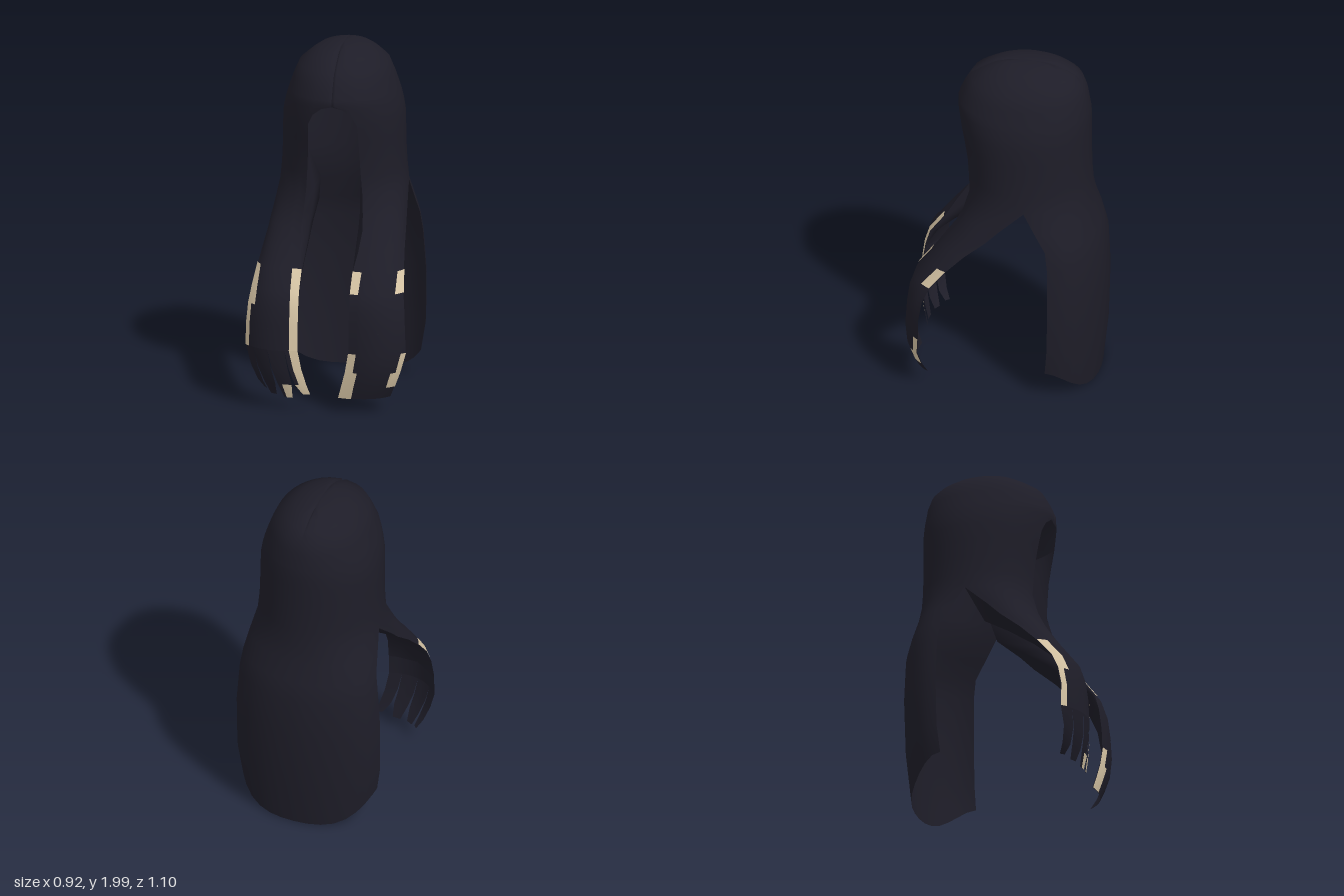
import * as THREE from 'three';
import { mergeGeometries, mergeVertices } from 'three/addons/utils/BufferGeometryUtils.js';

const LOCK_COLS = 10, BACK_COLS = 8, COLS = LOCK_COLS + BACK_COLS;
const SPLIT = THREE.MathUtils.degToRad(95); // angle where front lock and back curtain part
const V = (x, y, z) => new THREE.Vector3(x, y, z);

// Crown rings: y, half width, front z, back z, half width of the face opening
const CAP = [
  [2.0, 0, -0.1, -0.1, 0], [1.993, 0.07, 0.02, -0.22, 0], [1.975, 0.14, 0.09, -0.29, 0],
  [1.94, 0.19, 0.155, -0.36, 0], [1.89, 0.25, 0.23, -0.405, 0], [1.82, 0.28, 0.27, -0.43, 0],
  [1.75, 0.305, 0.3, -0.44, 0], [1.72, 0.315, 0.3, -0.445, 0], [1.7, 0.32, 0.3, -0.447, 0.06],
  [1.66, 0.33, 0.295, -0.45, 0.11], [1.6, 0.34, 0.29, -0.45, 0.14], [1.5, 0.343, 0.272, -0.45, 0.148],
  [1.4, 0.345, 0.255, -0.45, 0.148], [1.3, 0.35, 0.248, -0.453, 0.153], [1.2, 0.36, 0.243, -0.46, 0.16],
];

// Front lock sections: y, then x,z of the inner edge, bulge control and outer edge
const LOCK = [
  [1.08, 0.17, 0.245, 0.38, 0.2, 0.375, 0], [1.0, 0.175, 0.285, 0.39, 0.25, 0.385, 0.08],
  [0.9, 0.165, 0.35, 0.37, 0.355, 0.4, 0.2], [0.8, 0.145, 0.41, 0.36, 0.45, 0.415, 0.3],
  [0.69, 0.145, 0.49, 0.34, 0.54, 0.43, 0.39], [0.6, 0.145, 0.515, 0.33, 0.575, 0.443, 0.43],
  [0.5, 0.145, 0.53, 0.33, 0.585, 0.45, 0.45], [0.36, 0.145, 0.535, 0.33, 0.6, 0.455, 0.45],
];
const TIP = [
  [0.25, 0.125, 0.525, 0.31, 0.59, 0.425, 0.46], [0.16, 0.1, 0.51, 0.29, 0.565, 0.39, 0.44],
  [0.09, 0.08, 0.495, 0.28, 0.54, 0.36, 0.41],
];

// Inner wall and underside of a lock: y, then x,z of edge, wall, back corner, outer edge
const LINING = [
  [1.6, 0.14, 0.255, 0.2, 0.18, 0.29, 0.02, 0.33, -0.11],
  [1.4, 0.148, 0.223, 0.15, 0.16, 0.21, -0.06, 0.335, -0.125],
  [1.2, 0.16, 0.21, 0.13, 0.12, 0.14, -0.11, 0.355, -0.13],
  [1.08, 0.17, 0.245, 0.135, 0.15, 0.14, -0.07, 0.375, 0],
  [1.0, 0.175, 0.285, 0.14, 0.22, 0.145, 0.07, 0.385, 0.08],
  [0.9, 0.165, 0.35, 0.14, 0.3, 0.145, 0.22, 0.4, 0.2],
  [0.8, 0.145, 0.41, 0.145, 0.39, 0.15, 0.34, 0.415, 0.3],
  [0.69, 0.145, 0.49, 0.145, 0.475, 0.18, 0.45, 0.43, 0.39],
  [0.6, 0.145, 0.515, 0.16, 0.51, 0.25, 0.51, 0.443, 0.43],
  [0.48, 0.145, 0.53, 0.19, 0.54, 0.315, 0.54, 0.45, 0.45],
];

// Back curtain sections: y at edge, y at centre, half width, edge z, back z
const BACK = [
  [1.08, 1.1, 0.378, -0.2, -0.475], [0.98, 0.98, 0.395, -0.26, -0.51], [0.87, 0.87, 0.41, -0.275, -0.54],
  [0.63, 0.63, 0.427, -0.28, -0.55], [0.34, 0.3, 0.425, -0.275, -0.54], [0.18, 0.01, 0.4, -0.26, -0.51],
];

function capRow([y, w, zf, zb, open]) {
  const zc = -0.1, start = w > 0 ? Math.asin(open / w) : 0, row = [];
  for (let i = 0; i <= COLS; i++) {
    // the columns next to the parting are narrow, so that the groove reads as a line
    const k = i === 1 && open === 0 ? 0.4 : i === COLS - 1 && y > 1.9 ? COLS - 0.5 : i;
    const a = k <= LOCK_COLS
      ? start + (SPLIT - start) * k / LOCK_COLS
      : SPLIT + (Math.PI - SPLIT) * (k - LOCK_COLS) / BACK_COLS;
    const c = Math.cos(a);
    const p = V(w * Math.sin(a), y, zc + (c > 0 ? c ** 0.9 * (zf - zc) : c * (zc - zb)));
    if (i === 0 && open === 0) { p.x = 0; p.z -= 0.014; p.y -= 0.008; }
    if (i === COLS) { p.x = 0; if (y > 1.9) p.y -= 0.01; }
    row.push(p);
  }
  return row;
}

function lockPoint([y, xi, zi, cx, cz, xo, zo], t) {
  const a = (1 - t) ** 2, b = 2 * t * (1 - t), c = t * t;
  return V(a * xi + b * cx + c * xo, y, a * zi + b * cz + c * zo);
}

// Column position across a lock, with a wider inner column
const across = (i) => (i === 1 ? 0.13 : i / LOCK_COLS);
const lockRow = (s) => Array.from({ length: LOCK_COLS + 1 }, (_, i) => lockPoint(s, across(i)));

const liningRow = ([y, ...xz]) => [0, 2, 4, 6].map((i) => V(xz[i], y, xz[i + 1]));

function backRow([ye, yc, w, ze, zb]) {
  return Array.from({ length: BACK_COLS + 1 }, (_, i) => {
    const a = Math.PI / 2 * (1 - i / BACK_COLS), s = Math.sin(a);
    return V(i === BACK_COLS ? 0 : w * s, yc + (ye - yc) * s ** 4, ze + (zb - ze) * Math.cos(a));
  });
}

// Skin over rows of points; side -1 mirrors it, keep(r, c) selects cells
function loft(rows, side, keep = () => true) {
  const n = rows[0].length, pos = [], idx = [];
  rows.forEach((row) => row.forEach((p) => pos.push(p.x * side, p.y, p.z)));
  for (let r = 0; r < rows.length - 1; r++) {
    for (let c = 0; c < n - 1; c++) {
      if (!keep(r, c)) continue;
      const a = r * n + c, b = a + 1, d = a + n, e = d + 1;
      idx.push(...(side > 0 ? [a, d, b, b, d, e] : [a, b, d, b, e, d]));
    }
  }
  const g = new THREE.BufferGeometry();
  g.setAttribute('position', new THREE.Float32BufferAttribute(pos, 3));
  g.setIndex(idx);
  g.computeVertexNormals();
  return g;
}

// Join lofts into one smooth skin; the back seam is smoothed, the parting stays sharp
function joinSmooth(parts) {
  parts.forEach((g) => g.deleteAttribute('normal'));
  const g = mergeVertices(mergeGeometries(parts), 1e-4);
  g.computeVertexNormals();
  const p = g.attributes.position, n = g.attributes.normal;
  for (let i = 0; i < p.count; i++) {
    if (p.getX(i) !== 0 || p.getZ(i) > -0.38) continue;
    const v = V(0, n.getY(i), n.getZ(i)).normalize();
    n.setXYZ(i, v.x, v.y, v.z);
  }
  return g;
}

// Push a patch slightly outward so that it lies on the hair
function raise(g) {
  const p = g.attributes.position, n = g.attributes.normal;
  for (let i = 0; i < p.count; i++) {
    p.setXYZ(i, p.getX(i) + n.getX(i) * 0.004, p.getY(i) + n.getY(i) * 0.004, p.getZ(i) + n.getZ(i) * 0.004);
  }
  return g;
}

export function createModel() {
  const hair = new THREE.MeshStandardMaterial({ color: 0x1e1d28, side: THREE.DoubleSide });
  hair.name = 'dark hair';
  const tan = new THREE.MeshStandardMaterial({ color: 0xd8c6a6 });
  tan.name = 'tan highlight';
  const group = new THREE.Group();
  const add = (g, mat, name) => {
    const m = new THREE.Mesh(g, mat);
    m.name = name;
    group.add(m);
  };

  const cap = CAP.map(capRow), rim = cap[cap.length - 1];
  const back = [rim.slice(LOCK_COLS), ...BACK.map(backRow)];
  const upper = [rim.slice(0, LOCK_COLS + 1), ...LOCK.map(lockRow)];
  const whole = [...upper, ...TIP.map(lockRow)];
  const lining = LINING.map(liningRow);

  // Each half: crown, back curtain and front lock, with the inner wall of the lock
  for (const s of [1, -1]) {
    const name = s > 0 ? 'left' : 'right';
    add(joinSmooth([loft(cap, s), loft(back, s), loft(s > 0 ? whole : upper, s)]), hair, name + 'HairShell');
    add(loft(lining, s), hair, name + 'LockLining');
  }

  // Right lock ends in four tapering strands
  const strands = [[0, 2, 0], [2, 5, 0.33], [5, 8, 0.66], [8, 10, 0.93]];
  const taper = [0.95, 0.84, 0.5];
  strands.forEach(([c0, c1, lean], k) => {
    const cols = Array.from({ length: c1 - c0 + 1 }, (_, i) => across(c0 + i));
    const rows = [LOCK[LOCK.length - 1], ...TIP].map((s, r) => cols.map((t) => {
      const p = lockPoint(s, r === 0 ? t : lean + (t - lean) * taper[r - 1]);
      if (r === 3) p.y += [0.01, -0.01, 0, 0.02][k];
      return p;
    }));
    add(loft(rows, -1), hair, 'lockStrand');
    if (k === 0) add(raise(loft(rows, -1, (r, c) => c === 0 || r === 2)), tan, 'strandHighlight');
    if (k === 1) add(raise(loft(rows, -1, (r, c) => r === 2 && c < 2)), tan, 'strandHighlight');
  });

  // Highlight patches along the lock edges
  const last = LOCK_COLS - 1;
  add(raise(loft(upper, -1, (r, c) =>
    (r >= 4 && (c === 0 || c === last)) || (c === last - 1 && (r === 4 || r === 5)))), tan, 'rightLockHighlight');
  add(raise(loft(whole, 1, (r, c) =>
    (r === 4 && (c === 0 || c >= last - 1))
    || (c === 0 && r >= 8) || (c === 1 && r >= 9)
    || (c === last && r === 8) || (c >= last - 1 && r === 9))), tan, 'leftLockHighlight');

  return group;
}
